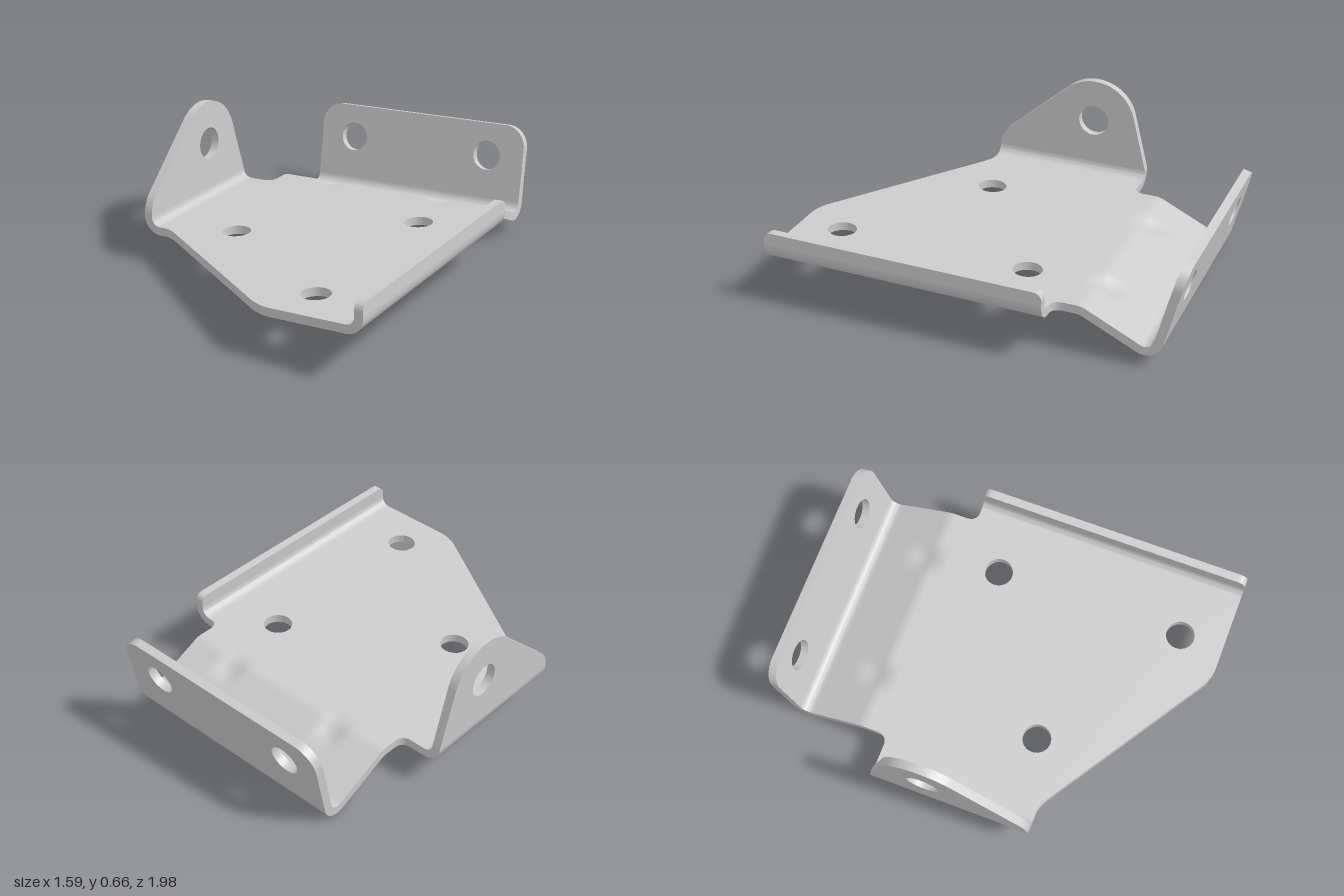
import * as THREE from 'three';
import { toCreasedNormals } from 'three/addons/utils/BufferGeometryUtils.js';

const T = 0.042; // sheet thickness
const BEND = 0.064; // centreline radius of the folds
const material = new THREE.MeshStandardMaterial({ color: 0xcccccc });

function part(name, geometry) {
  const mesh = new THREE.Mesh(toCreasedNormals(geometry, 0.6), material);
  mesh.name = name;
  return mesh;
}

function drill(shape, x, y, r) {
  shape.holes.push(new THREE.Path().absarc(x, y, r, 0, Math.PI * 2, true));
}

function sheet(shape) {
  return new THREE.ExtrudeGeometry(shape, { depth: T, bevelEnabled: false, curveSegments: 24 });
}

// Bent strip: segments are {length} or {radius, turn}, followed from (s, T / 2) along +x
function bentStrip(s, segments, width, steps = 1) {
  let x = s, y = T / 2, heading = 0;
  const top = [], bottom = [];
  const mark = () => {
    const nx = -Math.sin(heading) * T / 2, ny = Math.cos(heading) * T / 2;
    top.push(new THREE.Vector2(x + nx, y + ny));
    bottom.unshift(new THREE.Vector2(x - nx, y - ny));
  };
  mark();
  for (const { length, radius, turn = 0 } of segments) {
    const n = 10, d = turn / n;
    const chord = length ? length / n : 2 * radius * Math.sin(Math.abs(d) / 2);
    for (let i = 0; i < n; i++) {
      x += chord * Math.cos(heading + d / 2);
      y += chord * Math.sin(heading + d / 2);
      heading += d;
      mark();
    }
  }
  const geometry = new THREE.ExtrudeGeometry(new THREE.Shape([...top, ...bottom]),
    { depth: width, steps, bevelEnabled: false });
  return { geometry, x, y, heading };
}

export function createModel() {
  const bracket = new THREE.Group();
  bracket.name = 'bracket';
  const left = 0.78, right = -0.768; // outer faces of the side flanges
  const fold = BEND + T / 2;
  const x0 = right + fold, x1 = left - fold;
  const w0 = -0.553, w1 = 0.633; // rear wing edges
  const zBack = -0.372, zWing = -0.43, zFront = 0.43, zNose = 1.0;

  // Base plate, drawn in x and z
  const base = new THREE.Shape();
  base.moveTo(x0, zBack);
  base.lineTo(w0 - 0.05, zBack);
  base.quadraticCurveTo(w0, zBack, w0, zWing);
  base.lineTo(w1, zWing);
  base.quadraticCurveTo(w1, zBack, w1 + 0.05, zBack);
  base.lineTo(x1, zBack);
  base.lineTo(x1, zNose);
  base.lineTo(0.33, zNose);
  base.quadraticCurveTo(0.27, zNose, 0.21, 0.965);
  base.lineTo(-0.55, 0.475);
  base.quadraticCurveTo(-0.615, zFront, -0.66, zFront);
  base.lineTo(x0, zFront);
  drill(base, 0.418, -0.169, 0.07);
  drill(base, -0.315, 0.308, 0.07);
  drill(base, 0.42, 0.783, 0.07);
  bracket.add(part('basePlate', sheet(base).rotateX(Math.PI / 2).translate(0, T, 0)));

  // Side folds
  const quarter = [{ radius: BEND, turn: Math.PI / 2 }];
  const rightFold = bentStrip(-x0, quarter, zFront - zBack).geometry;
  bracket.add(part('rightFold', rightFold.rotateY(Math.PI).translate(0, 0, zFront)));
  const leftFold = bentStrip(x1, quarter, zNose - zBack).geometry;
  bracket.add(part('leftFold', leftFold.translate(0, 0, zBack)));

  // Right ear with a rounded top, drawn in z and y
  const ear = new THREE.Shape();
  const cz = -0.08, cy = 0.31, r = 0.22;
  ear.moveTo(zBack, fold);
  ear.lineTo(zFront, fold);
  ear.quadraticCurveTo(zFront, 0.14, 0.39, 0.185);
  ear.absarc(cz, cy, r, THREE.MathUtils.degToRad(48), THREE.MathUtils.degToRad(161), false);
  ear.lineTo(zBack, fold);
  drill(ear, cz, cy + 0.005, 0.08);
  bracket.add(part('rightEar', sheet(ear).rotateY(-Math.PI / 2).translate(right + T, 0, 0)));

  // Low left flange
  const lip = new THREE.Shape();
  const lipTop = 0.15, c = 0.045;
  lip.moveTo(zBack, fold);
  lip.lineTo(zNose, fold);
  lip.lineTo(zNose, lipTop - c);
  lip.quadraticCurveTo(zNose, lipTop, zNose - c, lipTop);
  lip.lineTo(zBack + c, lipTop);
  lip.quadraticCurveTo(zBack, lipTop, zBack, lipTop - c);
  bracket.add(part('leftFlange', sheet(lip).rotateY(-Math.PI / 2).translate(left, 0, 0)));

  // Rear wing: slopes down, then folds up
  const slope = THREE.MathUtils.degToRad(24.5), rise = THREE.MathUtils.degToRad(77);
  const wing = bentStrip(-zWing, [
    { length: 0.052 },
    { radius: 0.1, turn: -slope },
    { length: 0.282 },
    { radius: BEND, turn: slope + rise },
  ], w1 - w0, 72);
  wing.geometry.rotateY(Math.PI / 2).translate(w0, 0, 0);

  // Pressed stiffening dimples across the first bend
  const pos = wing.geometry.attributes.position;
  const bump = (d, half) => (Math.abs(d) < half ? Math.cos(d / half * Math.PI / 2) ** 2 : 0);
  for (let i = 0; i < pos.count; i++) {
    for (const x of [-0.28, 0.37]) {
      const k = bump(pos.getX(i) - x, 0.1) * bump(pos.getZ(i) + 0.545, 0.112);
      pos.setY(i, pos.getY(i) - 0.025 * k);
    }
  }
  bracket.add(part('rearWing', wing.geometry));

  // Rear upright panel with two holes
  const panel = new THREE.Shape();
  const h = 0.39, k = 0.11;
  panel.moveTo(w0, 0);
  panel.lineTo(w1, 0);
  panel.lineTo(w1, h - k);
  panel.absarc(w1 - k, h - k, k, 0, Math.PI / 2, false);
  panel.absarc(w0 + k, h - k, k, Math.PI / 2, Math.PI, false);
  panel.lineTo(w0, 0);
  drill(panel, -0.354, 0.222, 0.075);
  drill(panel, 0.431, 0.222, 0.075);
  const panelGeometry = sheet(panel).translate(0, 0, -T / 2)
    .rotateX(rise - Math.PI / 2).translate(0, wing.y, -wing.x);
  bracket.add(part('rearPanel', panelGeometry));

  // Slight tilt of the whole bracket, then centre it on the ground
  bracket.rotation.set(-0.012, 0.015, 0.053);
  const model = new THREE.Group();
  model.name = 'mountingBracket';
  model.add(bracket);
  model.updateMatrixWorld(true);
  const box = new THREE.Box3().setFromObject(model, true);
  const mid = box.getCenter(new THREE.Vector3());
  bracket.position.set(-mid.x, -box.min.y, -mid.z);
  return model;
}
